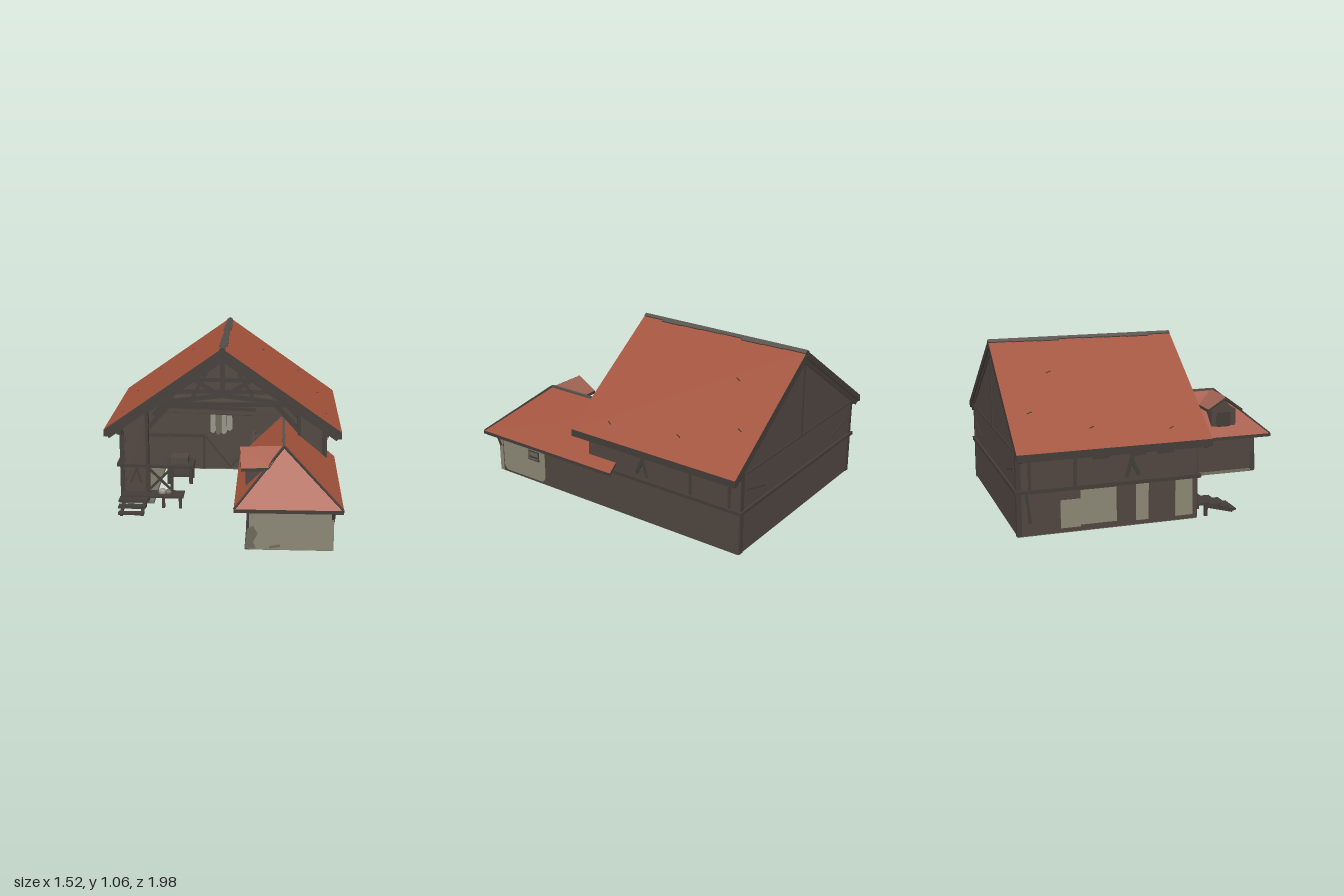
import * as THREE from 'three';

const mat = (name, hex, side = THREE.FrontSide) => {
  const m = new THREE.MeshStandardMaterial({ color: hex, side });
  m.name = name;
  return m;
};

export function createModel() {
  const tile = mat('roof tile', 0xa2523b);
  const paleTile = mat('pale tile', 0x9c6050);
  const wall = mat('plank wall', 0x504640);
  const beamMat = mat('dark timber', 0x443d39);
  const plaster = mat('plaster', 0x8b8775);
  const worn = mat('worn plaster', 0x6b675c);
  const stone = mat('foundation', 0x747263);
  const ridgeMat = mat('ridge cap', 0x57514c);
  const cloth = mat('cloth', 0x979385, THREE.DoubleSide);

  const root = new THREE.Group();
  const add = (name, geo, m) => {
    const mesh = new THREE.Mesh(geo, m);
    mesh.name = name;
    root.add(mesh);
    return mesh;
  };
  // Box given by its limits on each axis
  const box = (name, m, x0, x1, y0, y1, z0, z1) => {
    const b = add(name, new THREE.BoxGeometry(x1 - x0, y1 - y0, z1 - z0), m);
    b.position.set((x0 + x1) / 2, (y0 + y1) / 2, (z0 + z1) / 2);
    return b;
  };
  // Timber running between two points
  const beam = (name, a, b, w = 0.03, h = w, m = beamMat) => {
    const p = new THREE.Vector3(...a), q = new THREE.Vector3(...b);
    const mesh = add(name, new THREE.BoxGeometry(w, h, p.distanceTo(q)), m);
    mesh.position.copy(p).lerp(q, 0.5);
    mesh.lookAt(q);
    return mesh;
  };
  // Sloped roof panel: convex outline, one material on top, timber on the edges and underside
  const panel = (name, outline, t, top) => {
    const pts = outline.map((p) => new THREE.Vector3(...p));
    const n = new THREE.Vector3().crossVectors(pts[1].clone().sub(pts[0]), pts[2].clone().sub(pts[0]));
    if (n.y < 0) pts.reverse();
    const low = pts.map((p) => new THREE.Vector3(p.x, p.y - t, p.z));
    const v = [];
    const tri = (...c) => c.forEach((p) => v.push(p.x, p.y, p.z));
    for (let i = 1; i < pts.length - 1; i++) tri(pts[0], pts[i], pts[i + 1]);
    const topCount = v.length / 3;
    for (let i = 1; i < pts.length - 1; i++) tri(low[0], low[i + 1], low[i]);
    pts.forEach((p, i) => {
      const j = (i + 1) % pts.length;
      tri(p, low[i], low[j]);
      tri(p, low[j], pts[j]);
    });
    const g = new THREE.BufferGeometry();
    g.setAttribute('position', new THREE.Float32BufferAttribute(v, 3));
    g.addGroup(0, topCount, 0);
    g.addGroup(topCount, v.length / 3 - topCount, 1);
    g.computeVertexNormals();
    return add(name, g, [top, beamMat]);
  };
  // Upright plate cut to an outline in x and y
  const plate = (name, m, pts, z0, depth) => {
    const g = new THREE.ExtrudeGeometry(new THREE.Shape(pts.map((p) => new THREE.Vector2(...p))), { depth, bevelEnabled: false });
    return add(name, g.translate(0, 0, z0), m);
  };

  // Foundation in a U around the open yard
  box('backFoundation', stone, -0.665, 0.675, 0, 0.02, -0.972, -0.64);
  box('leftFoundation', stone, -0.665, -0.45, 0, 0.02, -0.64, 0.13);
  box('annexFoundation', stone, 0.17, 0.675, 0, 0.02, -0.64, 0.895);

  // Main walls
  plate('backGable', wall, [[-0.66, 0.004], [0.66, 0.004], [0.66, 0.54], [0, 1], [-0.66, 0.54]], -0.974, 0.03);
  box('sideWall', wall, -0.667, -0.63, 0.004, 0.54, -0.973, 0.13);
  box('sideWall', wall, 0.64, 0.67, 0.004, 0.54, -0.973, 0.13);
  box('innerBackWall', wall, -0.64, 0.65, 0.01, 0.47, -0.66, -0.63);
  box('loftFloor', wall, -0.64, 0.65, 0.45, 0.475, -0.95, -0.62);
  for (const s of [1, -1]) {
    const c = [[0.49, 0.01], [0.66, 0.01], [0.66, 0.54], [0.49, 0.66]].map(([x, y]) => [s * x, y]);
    plate('frontCornerWall', wall, c, 0.1, 0.025);
    beam('cornerPost', [s * 0.49, 0.01, 0.11], [s * 0.49, 0.66, 0.11], 0.02, 0.05);
    beam('outerPost', [s * 0.652, 0.01, 0.12], [s * 0.652, 0.53, 0.12], 0.028);
    // Rails, posts and small braces on the outside of the long walls
    beam('sideRail', [s * 0.672, 0.27, -0.99], [s * 0.672, 0.27, 0.15], 0.025, 0.022);
    beam('eaveRail', [s * 0.665, 0.49, -0.98], [s * 0.665, 0.49, 0.16], 0.03);
    for (const z of [-0.9, -0.63]) beam('sidePost', [s * 0.666, 0.28, z], [s * 0.666, 0.5, z], 0.018);
    beam('sidePost', [s * 0.67, 0.08, -0.9], [s * 0.67, 0.26, -0.92], 0.016);
    beam('hatchBrace', [s * 0.668, 0.3, -0.32], [s * 0.668, 0.43, -0.28], 0.02);
    beam('hatchBrace', [s * 0.668, 0.42, -0.29], [s * 0.668, 0.31, -0.24], 0.02);
    for (const z of [-0.02, -0.2, -0.42]) beam('wallBatten', [s * 0.67, 0.44, z], [s * 0.67, 0.437, z - 0.1], 0.01, 0.02);
    beam('backPost', [s * 0.655, 0.004, -0.965], [s * 0.655, 0.54, -0.965], 0.03);
    beam('backBrace', [s * 0.62, 0.4, -0.974], [s * 0.4, 0.34, -0.974], 0.01);
  }
  beam('backRail', [-0.68, 0.27, -0.977], [0.68, 0.27, -0.977], 0.022);
  beam('backTie', [-0.62, 0.5, -0.974], [0.62, 0.5, -0.974], 0.012);
  beam('backKingPost', [0, 0.5, -0.974], [0, 0.98, -0.974], 0.014);

  // Bare plaster patches on the plain long wall
  for (const [z0, z1, y0, y1] of [[-0.72, -0.6, 0.03, 0.2], [-0.6, -0.38, 0.04, 0.25], [-0.26, -0.18, 0.03, 0.255], [-0.01, 0.1, 0.03, 0.255]])
    box('plasterPatch', plaster, -0.671, -0.664, y0, y1, z0, z1);

  // Main roof
  for (const s of [1, -1]) {
    panel('mainRoof', [[0, 1.05, 0.19], [0, 1.05, -0.99], [s * 0.76, 0.515, -0.99], [s * 0.76, 0.515, 0.19]], 0.045, tile);
    for (const z of [0.165, -0.965]) beam('bargeBoard', [0, 0.995, z], [s * 0.74, 0.475, z], 0.03, 0.045);
    beam('eaveBoard', [s * 0.745, 0.485, 0.18], [s * 0.745, 0.485, -0.98], 0.02, 0.035);
    // Cracks in the tiles
    for (const [x, z] of [[0.24, -0.66], [0.5, -0.84], [0.62, -0.5], [0.66, -0.02]]) {
      const y = 1.05 - x * 0.704;
      beam('tileCrack', [s * x, y, z], [s * (x + 0.012), y - 0.0084, z - 0.03], 0.005, 0.005);
    }
    // Uneven ridge cap
    for (let i = 0; i < 8; i++) {
      const w = 0.018 + ((i * 3) % 4) * 0.003, z = 0.19 - i * 0.1475;
      panel('ridgeCap', [[0, 1.056, z], [0, 1.056, z - 0.1475], [s * w, 1.056 - w * 0.704, z - 0.1475], [s * w, 1.056 - w * 0.704, z]], 0.006, ridgeMat);
    }
  }

  // Roof trusses, the front one with struts
  for (const z of [0.1, -0.25, -0.6]) {
    beam('tieBeam', [-0.46, 0.67, z], [0.46, 0.67, z], 0.025);
    for (const s of [1, -1]) {
      beam('rafter', [0, 0.975, z], [s * 0.66, 0.51, z], 0.03, 0.045);
      beam('kneeBrace', [s * 0.49, 0.5, z], [s * 0.31, 0.7, z], 0.028);
    }
  }
  beam('kingPost', [0, 0.73, 0.12], [0, 0.98, 0.12], 0.03);
  for (const s of [1, -1]) {
    beam('collarBeam', [0, 0.735, 0.125], [s * 0.36, 0.69, 0.125], 0.028);
    beam('strut', [s * 0.03, 0.74, 0.13], [s * 0.19, 0.84, 0.13], 0.025);
    beam('strut', [s * 0.2, 0.71, 0.13], [s * 0.1, 0.88, 0.13], 0.018);
  }

  // Annex walls
  box('annexOuterWall', wall, 0.65, 0.68, 0.004, 0.28, -0.973, 0.89);
  box('annexInnerWall', wall, 0.175, 0.2, 0.005, 0.3, -0.64, 0.89);
  box('annexFrontWall', plaster, 0.19, 0.681, 0.004, 0.27, 0.87, 0.9);
  plate('annexBackGable', wall, [[0.18, 0.26], [0.66, 0.26], [0.64, 0.31], [0.39, 0.52], [0.18, 0.31]], -0.06, 0.02);
  box('annexLoft', wall, 0.18, 0.66, 0.25, 0.27, -0.64, 0.88);
  const patch = new THREE.Shape().absarc(0.05, 0.06, 0.04, Math.PI, 1.5 * Math.PI);
  patch.absarc(0.33, 0.06, 0.04, -Math.PI / 2, 0).absarc(0.34, 0.23, 0.03, 0, Math.PI / 2).absarc(0.05, 0.22, 0.04, Math.PI / 2, Math.PI);
  const patchGeo = new THREE.ExtrudeGeometry(patch, { depth: 0.005, bevelEnabled: false }).rotateY(Math.PI / 2).translate(0.679, 0, 0.87);
  add('sidePlaster', patchGeo, plaster);
  box('smallWindow', beamMat, 0.68, 0.688, 0.155, 0.222, 0.545, 0.635);
  box('windowPane', worn, 0.682, 0.69, 0.163, 0.214, 0.555, 0.625);
  box('windowBar', beamMat, 0.684, 0.692, 0.175, 0.188, 0.56, 0.62);
  beam('annexPost', [0.18, 0.004, 0.885], [0.2, 0.27, 0.885], 0.03);
  plate('wornCorner', worn, [[0.165, 0.01], [0.23, 0.01], [0.215, 0.05], [0.24, 0.1], [0.215, 0.15], [0.18, 0.13]], 0.897, 0.008);
  beam('annexCornerPost', [0.675, 0.18, 0.885], [0.68, 0.27, 0.92], 0.018);
  beam('frontStone', [0.31, 0.02, 0.903], [0.37, 0.032, 0.903], 0.012, 0.012, worn);

  // Annex roof with a hipped front
  const top = [0.39, 0.56, 0.67];
  panel('annexRoof', [top, [0.39, 0.56, -0.08], [0.73, 0.28, -0.08], [0.73, 0.28, 0.99]], 0.022, tile);
  panel('annexRoof', [top, [0.39, 0.56, -0.08], [0.105, 0.28, -0.08], [0.105, 0.28, 0.99]], 0.022, tile);
  panel('annexHip', [top, [0.105, 0.28, 0.99], [0.73, 0.28, 0.99]], 0.022, tile);
  beam('annexRidge', [0.39, 0.557, -0.07], top, 0.016, 0.014, ridgeMat);
  for (const x of [0.11, 0.725]) beam('hipRidge', top, [x, 0.277, 0.985], 0.014, 0.014);

  // Dormer facing the yard
  panel('dormerFront', [[0.13, 0.555, 0.66], [0.14, 0.46, 0.79], [0.3, 0.465, 0.79], [0.4, 0.562, 0.66]], 0.02, tile);
  panel('dormerBack', [[0.13, 0.555, 0.66], [0.13, 0.475, 0.53], [0.32, 0.475, 0.53], [0.39, 0.56, 0.66]], 0.02, paleTile);
  box('dormerWall', wall, 0.17, 0.29, 0.27, 0.46, 0.57, 0.75);
  const gable = new THREE.Shape([new THREE.Vector2(-0.75, 0.44), new THREE.Vector2(-0.57, 0.44), new THREE.Vector2(-0.66, 0.535)]);
  add('dormerGable', new THREE.ExtrudeGeometry(gable, { depth: 0.03, bevelEnabled: false }).rotateY(Math.PI / 2).translate(0.17, 0, 0), wall);
  box('dormerHatch', beamMat, 0.165, 0.172, 0.32, 0.44, 0.61, 0.71);

  // Yard door braces, rails and washing line
  beam('doorBrace', [-0.16, 0.25, -0.628], [0.02, 0.02, -0.628], 0.01);
  beam('doorBrace', [0.02, 0.02, -0.628], [0.17, 0.2, -0.628], 0.01);
  beam('doorPost', [-0.17, 0.01, -0.62], [-0.17, 0.26, -0.62], 0.018);
  beam('innerRail', [-0.63, 0.26, -0.62], [-0.17, 0.255, -0.62], 0.02);
  beam('innerTopRail', [-0.5, 0.475, -0.61], [0.2, 0.455, -0.61], 0.022);
  beam('washingLine', [-0.48, 0.46, -0.5], [0.18, 0.44, -0.5], 0.005);
  [[-0.1, 0.31], [-0.062, 0.3], [-0.022, 0.305], [0.018, 0.33]].forEach(([x, y], i) => {
    const outline = [[-0.018, 0.445], [0.018, 0.445], [0.021, y + 0.02], [0.004, y], [-0.017, y + 0.01]];
    const sheet = new THREE.ShapeGeometry(new THREE.Shape(outline.map((p) => new THREE.Vector2(...p))));
    add('hangingCloth', sheet, i === 1 ? worn : cloth).position.set(x, 0, -0.495 + i * 0.004);
  });

  // Front deck, railing and steps
  box('deck', beamMat, -0.65, -0.25, 0.07, 0.085, 0.1, 0.22);
  for (const x of [-0.64, -0.5, -0.38, -0.27]) beam('deckLeg', [x, 0, 0.2], [x, 0.07, 0.2], 0.02);
  beam('railing', [-0.66, 0.265, 0.14], [-0.2, 0.255, 0.14], 0.018);
  for (const x of [-0.48, -0.33]) beam('railPost', [x, 0.08, 0.14], [x, 0.26, 0.14], 0.018);
  beam('railCross', [-0.48, 0.1, 0.14], [-0.33, 0.25, 0.14], 0.014);
  beam('railCross', [-0.48, 0.25, 0.145], [-0.33, 0.1, 0.145], 0.014);
  beam('cornerBoard', [-0.6, 0.14, 0.125], [-0.56, 0.24, 0.125], 0.01, 0.014);
  beam('cornerBoard', [-0.53, 0.14, 0.125], [-0.56, 0.24, 0.125], 0.01, 0.014);
  [[0.245, 0.075, 0.04], [0.32, 0.055, 0.028], [0.378, 0.03, 0.02]].forEach(([z, y, r], i) =>
    box('step', beamMat, -0.66 + i * 0.006, -0.475 - i * 0.005, y - 0.014, y, z - r, z + r));
  for (const x of [-0.63, -0.5]) beam('stepStringer', [x, 0.06, 0.2], [x, 0.012, 0.38], 0.018);

  // Work table with a crate
  box('tableTop', beamMat, -0.41, -0.22, 0.115, 0.14, -0.45, -0.27);
  box('tableShelf', beamMat, -0.39, -0.24, 0.05, 0.065, -0.43, -0.29);
  for (const x of [-0.39, -0.24]) for (const z of [-0.43, -0.29]) beam('tableLeg', [x, 0.002, z], [x, 0.12, z], 0.024);
  box('crate', wall, -0.38, -0.26, 0.14, 0.185, -0.42, -0.3);

  // Bundles on the deck and sacks on the loft
  const sack = new THREE.SphereGeometry(0.045, 10, 7);
  for (const [x, y, z, m, k] of [[-0.39, 0.095, 0.16, cloth, 0.6], [-0.35, 0.095, 0.17, worn, 0.5], [0.32, 0.57, -0.7, ridgeMat, 0.9], [0.4, 0.55, -0.72, ridgeMat, 0.9], [0.36, 0.51, -0.7, ridgeMat, 1]]) {
    const s = add('bundle', sack, m);
    s.position.set(x, y, z);
    s.scale.set(k, k * 0.9, k);
  }
  return root;
}
